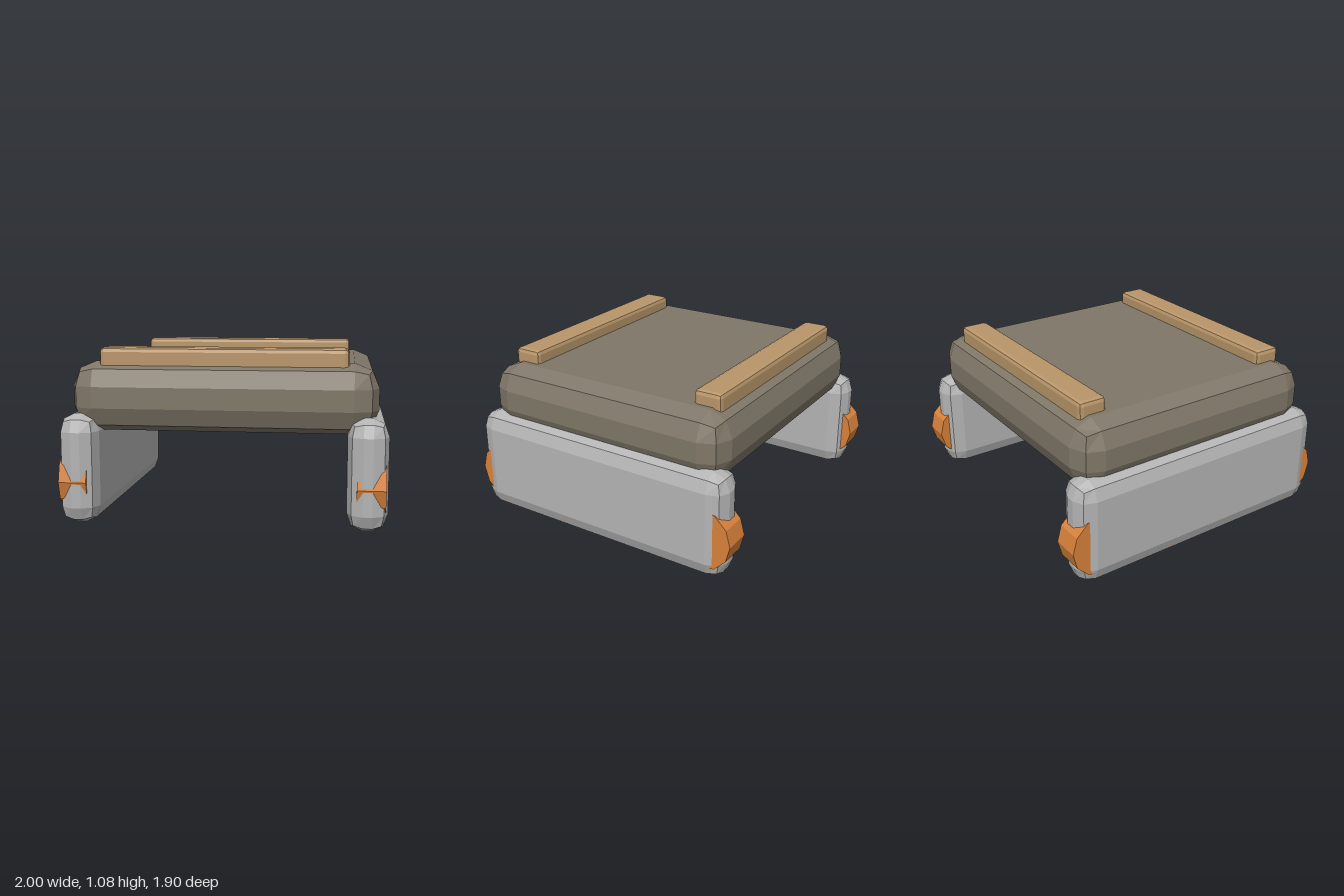
import * as THREE from 'three';
import { RoundedBoxGeometry } from 'three/addons/geometries/RoundedBoxGeometry.js';

const mat = (name, color) => {
  const m = new THREE.MeshStandardMaterial({ color, flatShading: true });
  m.name = name;
  return m;
};

// Box between two corners with two-facet bevels; sx narrows the bevel along x
function bevelBox(name, material, min, max, radius, sx = 1) {
  const [w, h, d] = max.map((v, i) => v - min[i]);
  const geo = new RoundedBoxGeometry(w / sx, h, d, 1, radius);
  geo.scale(sx, 1, 1);
  geo.translate(...max.map((v, i) => (v + min[i]) / 2));
  const mesh = new THREE.Mesh(geo, material);
  mesh.name = name;
  return mesh;
}

export function createModel() {
  const group = new THREE.Group();
  group.name = 'rollingPlatform';
  const deckMat = mat('dull brown', 0x7f7768);
  const railMat = mat('light grey', 0xb4b4b4);
  const wheelMat = mat('orange', 0xd9823b);
  const slatMat = mat('tan wood', 0xb9966a);

  // Thick deck
  group.add(bevelBox('deck', deckMat, [-0.94, 0.57, -0.84], [0.94, 1.0, 0.88], 0.15));

  // Two slats across the deck
  group.add(bevelBox('frontSlat', slatMat, [-0.76, 0.94, 0.605], [0.76, 1.085, 0.79], 0.028));
  group.add(bevelBox('backSlat', slatMat, [-0.76, 0.94, -0.745], [0.76, 1.085, -0.56], 0.028));

  // Side housings, each with four wheels almost sunk inside
  const wheelGeo = new THREE.CylinderGeometry(0.205, 0.205, 0.172, 12);
  wheelGeo.rotateZ(Math.PI / 2);
  for (const side of [-1, 1]) {
    const label = side > 0 ? 'left' : 'right';
    const a = side * 0.755, b = side;
    group.add(bevelBox(label + 'Housing', railMat,
      [Math.min(a, b), 0.005, -0.897], [Math.max(a, b), 0.685, 0.945], 0.108, 0.87));
    [0.743, 0.248, -0.248, -0.743].forEach((z, i) => {
      const wheel = new THREE.Mesh(wheelGeo, wheelMat);
      wheel.name = label + 'Wheel' + (i + 1);
      wheel.position.set(side * 0.899, 0.272, z);
      group.add(wheel);
    });
  }
  return group;
}
